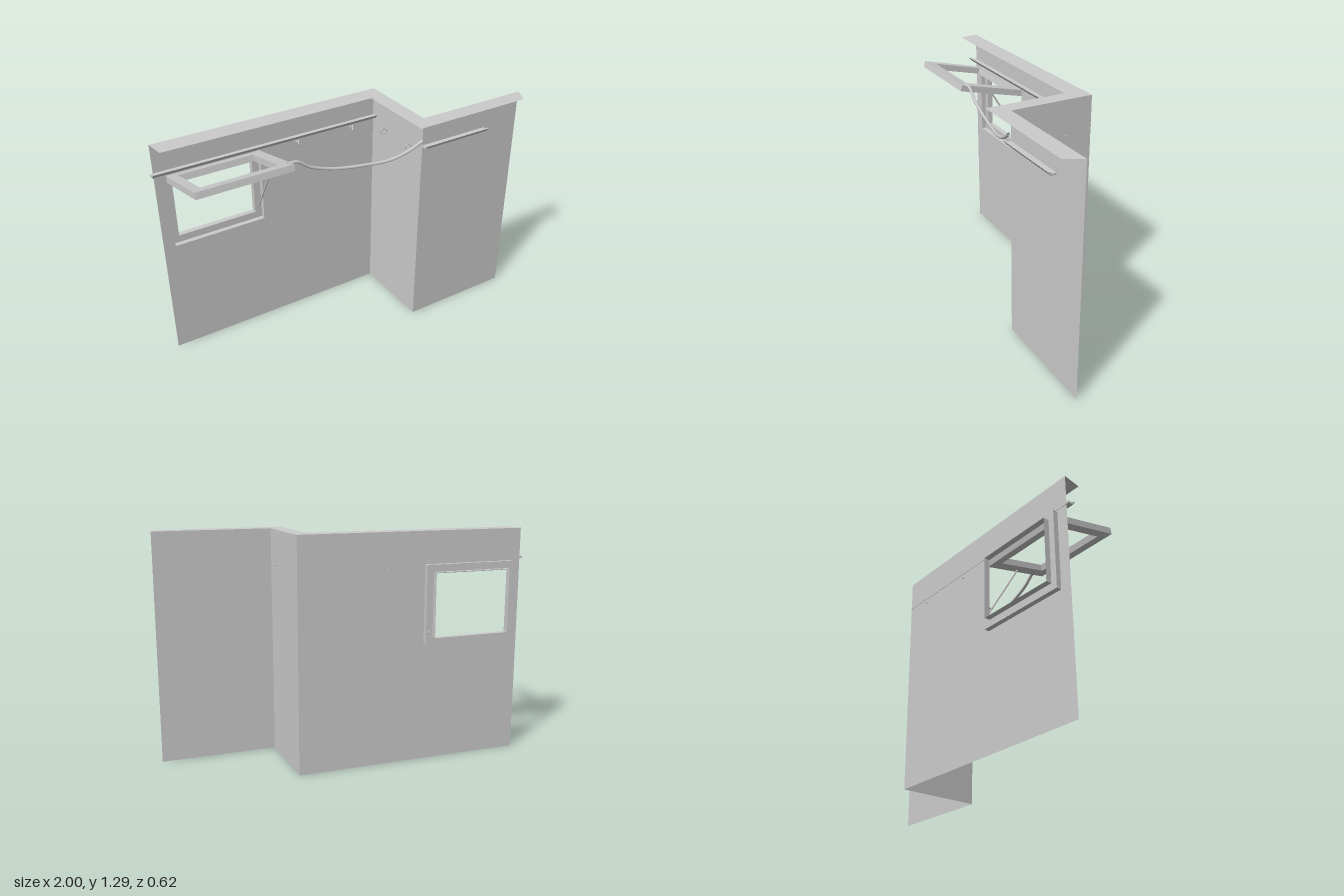
import * as THREE from 'three';

const mat = new THREE.MeshStandardMaterial({ color: 0xcccccc, side: THREE.DoubleSide });
const V = (x, y, z) => new THREE.Vector3(x, y, z);

function add(parent, name, geo) {
  const m = new THREE.Mesh(geo, mat);
  m.name = name;
  parent.add(m);
  return m;
}

// rectangle outline from corner coordinates, usable as shape or hole
function rect(x0, y0, x1, y1, Type = THREE.Shape) {
  return new Type([[x0, y0], [x1, y0], [x1, y1], [x0, y1]].map(p => new THREE.Vector2(...p)));
}

// straight round bar between two points
function bar(parent, name, a, b, r) {
  const m = add(parent, name, new THREE.CylinderGeometry(r, r, a.distanceTo(b), 8));
  m.position.copy(a).add(b).multiplyScalar(0.5);
  m.quaternion.setFromUnitVectors(V(0, 1, 0), b.clone().sub(a).normalize());
  return m;
}

// stepped sheet through a series of rectangles [x0, y0, x1, y1, z]
function steppedFrame(steps) {
  const pos = [], idx = [];
  for (const [x0, y0, x1, y1, z] of steps) pos.push(x0, y0, z, x1, y0, z, x1, y1, z, x0, y1, z);
  for (let s = 0; s < steps.length - 1; s++) {
    for (let i = 0; i < 4; i++) {
      const a = s * 4 + i, b = s * 4 + (i + 1) % 4;
      idx.push(a, b, a + 4, b, b + 4, a + 4);
    }
  }
  let g = new THREE.BufferGeometry();
  g.setAttribute('position', new THREE.Float32BufferAttribute(pos, 3));
  g.setIndex(idx);
  g = g.toNonIndexed();
  g.computeVertexNormals();
  return g;
}

export function createModel() {
  const model = new THREE.Group();
  model.name = 'steppedWallWithWindow';
  const H = 1.29, backZ = -0.255, frontZ = 0.215, stepX = 0.338;
  const outer = [-0.92, 0.67, -0.39, 1.11], inner = [-0.885, 0.71, -0.43, 1.07];

  // thin wall sheets
  const wall = rect(-0.985, 0, stepX, H);
  wall.holes.push(rect(...outer, THREE.Path));
  add(model, 'windowWall', new THREE.ShapeGeometry(wall)).position.z = backZ;
  add(model, 'frontWall', new THREE.ShapeGeometry(rect(stepX, 0, 0.995, H))).position.z = frontZ;
  const side = add(model, 'stepWall', new THREE.PlaneGeometry(frontZ - backZ, H));
  side.rotation.y = Math.PI / 2;
  side.position.set(stepX, H / 2, (frontZ + backZ) / 2);

  // flat cap along the wall top, drawn as (x, -z) and laid down
  const cap = new THREE.Shape([
    [-0.985, backZ], [-0.97, -0.145], [0.25, -0.145], [0.25, 0.31],
    [0.947, 0.31], [0.997, frontZ], [stepX, frontZ], [stepX, backZ],
  ].map(([x, z]) => new THREE.Vector2(x, -z)));
  const capMesh = add(model, 'wallCap', new THREE.ShapeGeometry(cap));
  capMesh.rotation.x = -Math.PI / 2;
  capMesh.position.y = H;

  // window casing stepping out behind the wall
  add(model, 'windowCasing', steppedFrame([
    [...outer, backZ], [...outer, -0.283], [...inner, -0.283], [...inner, -0.315],
  ]));

  // open sash, hinged at the top and tilted upward
  const sashShape = rect(-0.92, 0, -0.39, 0.41);
  sashShape.holes.push(rect(-0.87, 0.05, -0.45, 0.353, THREE.Path));
  const sashGeo = new THREE.ExtrudeGeometry(sashShape, { depth: 0.036, bevelEnabled: false });
  sashGeo.translate(0, 0, -0.036);
  const sash = add(model, 'windowSash', sashGeo);
  sash.position.set(0, 1.058, -0.258);
  sash.rotation.x = Math.PI / 2 - 0.239;
  bar(model, 'sashStay', V(-0.408, 0.735, -0.287), V(-0.408, 1.115, -0.06), 0.005);

  // bevelled rails on both front-facing walls
  const profile = new THREE.Shape([
    [-0.002, 1.12], [0.028, 1.12], [0.045, 1.142], [0.034, 1.142], [0.024, 1.131], [-0.002, 1.131],
  ].map(([z, y]) => new THREE.Vector2(-z, y)));
  for (const [name, x0, x1, z] of [['backRail', -1, stepX, backZ], ['frontRail', stepX, 0.76, frontZ]]) {
    const g = new THREE.ExtrudeGeometry(profile, { depth: x1 - x0, bevelEnabled: false });
    g.rotateY(Math.PI / 2);
    add(model, name, g).position.set(x0, 0, z);
  }

  // sagging hose from the sash to the corner
  const path = new THREE.CatmullRomCurve3([
    V(-0.41, 1.182, 0.1), V(-0.36, 1.18, 0.1), V(-0.28, 1.13, 0.108), V(-0.15, 1.092, 0.125),
    V(0, 1.08, 0.153), V(0.15, 1.085, 0.187), V(0.25, 1.118, 0.208), V(0.33, 1.165, 0.226),
  ]);
  add(model, 'hose', new THREE.TubeGeometry(path, 48, 0.009, 8));

  // eye hooks, their pins passing through the walls
  const hooks = [
    [-0.17, backZ, 0], [0.18, backZ, 0], [stepX, 0.13, -Math.PI / 2], [stepX, -0.105, -Math.PI / 2],
  ];
  for (const [x, z, turn] of hooks) {
    const hook = new THREE.Group();
    hook.name = 'eyeHook';
    bar(hook, 'hookPin', V(0, 0, -0.006), V(0, 0, 0.016), 0.005);
    const ring = add(hook, 'hookRing', new THREE.TorusGeometry(0.016, 0.004, 8, 20));
    ring.position.z = 0.03;
    ring.rotation.y = Math.PI / 2 - 0.4;
    hook.position.set(x, 1.095, z);
    hook.rotation.y = turn;
    model.add(hook);
  }
  return model;
}
